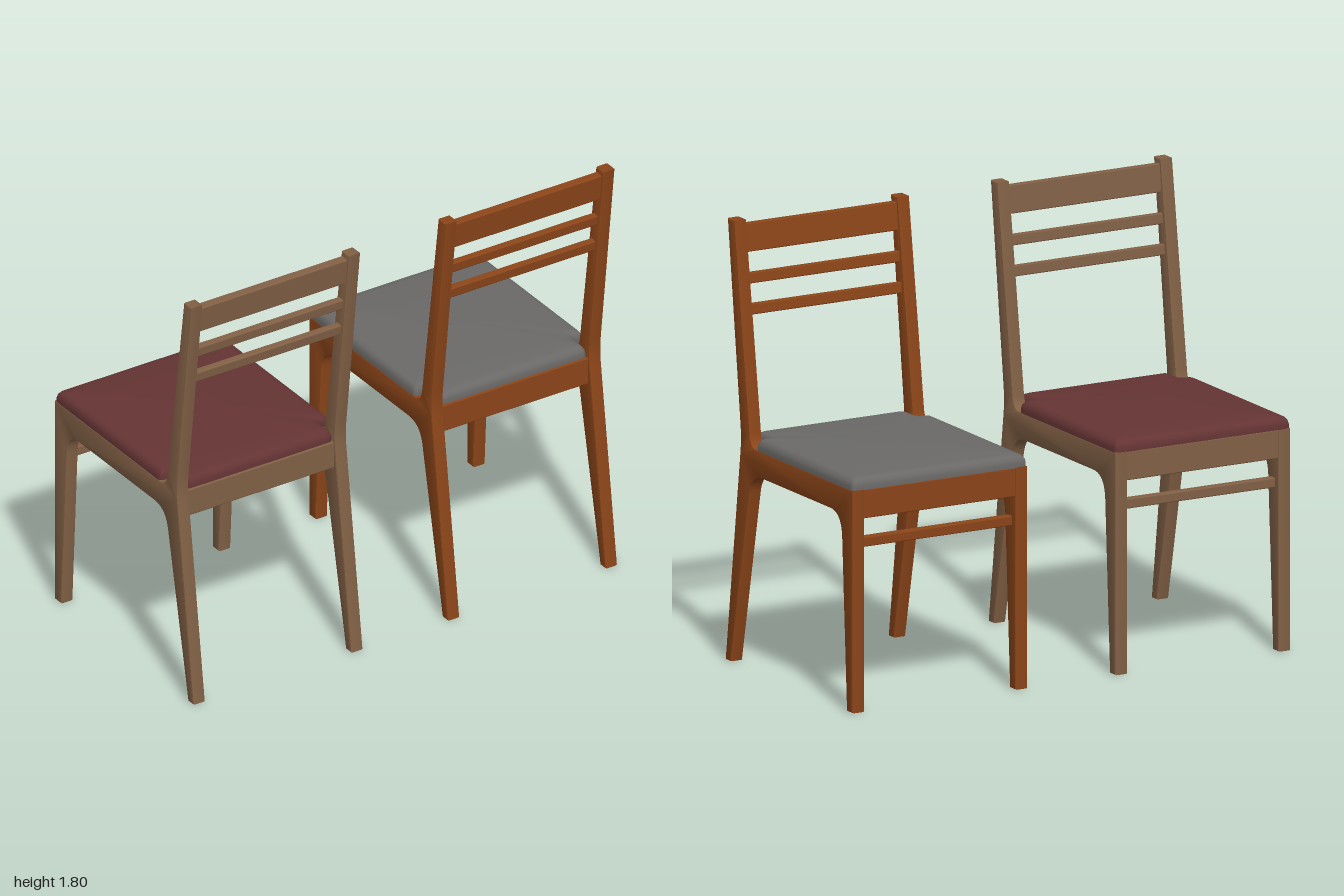
import * as THREE from 'three';
import { toCreasedNormals } from 'three/addons/utils/BufferGeometryUtils.js';
import { RoundedBoxGeometry } from 'three/addons/geometries/RoundedBoxGeometry.js';

const POST = 0.056;  // thickness of the side frames
const HALF = 0.4;    // half the chair's width
const LEAN = Math.atan2(0.1, 0.88); // backrest tilt

// Side frame: both legs, side rail and back post in one outline (z, y)
function sideFrameGeometry() {
  const s = new THREE.Shape();
  s.moveTo(0.46, 0);
  s.lineTo(0.5, 0);
  s.lineTo(0.386, 0.86);
  s.quadraticCurveTo(0.377, 0.92, 0.384, 0.98);
  s.lineTo(0.483, 1.8);
  s.lineTo(0.43, 1.8);
  s.lineTo(0.312, 0.965);
  s.quadraticCurveTo(0.304, 0.905, 0.262, 0.905);
  s.lineTo(-0.497, 0.905);
  s.lineTo(-0.497, 0);
  s.lineTo(-0.45, 0);
  s.lineTo(-0.412, 0.7);
  s.quadraticCurveTo(-0.406, 0.797, -0.32, 0.797);
  s.lineTo(0.215, 0.797);
  s.quadraticCurveTo(0.298, 0.797, 0.314, 0.71);
  s.closePath();
  const b = 0.006;
  const g = new THREE.ExtrudeGeometry(s, {
    depth: POST - 2 * b, bevelThickness: b, bevelSize: b, bevelOffset: -b,
    bevelSegments: 2, curveSegments: 10,
  });
  g.translate(0, 0, b - POST / 2);
  g.rotateY(-Math.PI / 2);
  return toCreasedNormals(g, 0.5);
}

// Cushion outline (x, z), notched around the back posts
function cushionOutline() {
  const s = new THREE.Shape();
  const w = HALF - 0.002, n = HALF - POST - 0.002, r = 0.02;
  s.moveTo(-w + r, -0.497);
  s.lineTo(w - r, -0.497);
  s.quadraticCurveTo(w, -0.497, w, -0.497 + r);
  s.lineTo(w, 0.26 - r);
  s.quadraticCurveTo(w, 0.26, w - r, 0.26);
  s.quadraticCurveTo(n, 0.262, n, 0.3);
  s.lineTo(n, 0.35);
  s.quadraticCurveTo(n, 0.37, n - r, 0.37);
  s.lineTo(-n + r, 0.37);
  s.quadraticCurveTo(-n, 0.37, -n, 0.35);
  s.lineTo(-n, 0.3);
  s.quadraticCurveTo(-n, 0.262, -w + r, 0.26);
  s.quadraticCurveTo(-w, 0.26, -w, 0.26 - r);
  s.lineTo(-w, -0.497 + r);
  s.quadraticCurveTo(-w, -0.497, -w + r, -0.497);
  return s.getPoints(6).slice(0, -1);
}

// Rings of the outline shrink towards the middle while they rise to a crown
function cushionGeometry() {
  const outline = cushionOutline(), n = outline.length, cz = -0.06;
  const rings = [[0, 0.903], [1, 0.903], [1, 0.92], [0.992, 0.934], [0.97, 0.946], [0.94, 0.952]];
  for (const k of [0.88, 0.75, 0.55, 0.3, 0]) rings.push([k, 0.952 + 0.018 * (1 - (k / 0.94) ** 2)]);
  const pos = [], idx = [];
  for (const [k, y] of rings) {
    for (const p of outline) pos.push(p.x * k, y, cz + (p.y - cz) * k);
  }
  for (let r = 0; r < rings.length - 1; r++) {
    for (let i = 0; i < n; i++) {
      const j = (i + 1) % n, a = r * n + i, b = r * n + j, c = a + n, d = b + n;
      if (rings[r][0] > 0) idx.push(a, c, b);
      if (rings[r + 1][0] > 0) idx.push(b, c, d);
    }
  }
  const g = new THREE.BufferGeometry();
  g.setAttribute('position', new THREE.Float32BufferAttribute(pos, 3));
  g.setIndex(idx);
  return toCreasedNormals(g, 0.9);
}

function createChair(wood, fabric) {
  const chair = new THREE.Group();
  const add = (name, geometry, material) => {
    const m = new THREE.Mesh(geometry, material);
    m.name = name;
    chair.add(m);
    return m;
  };
  // Cross rail between the two side frames
  const rail = (name, y, z, height, depth, tilt = 0) => {
    const m = add(name, new RoundedBoxGeometry(2 * (HALF - POST) + 0.02, height, depth, 2, 0.005), wood);
    m.position.set(0, y, z);
    m.rotation.x = tilt;
  };

  const frame = sideFrameGeometry();
  for (const side of [-1, 1]) {
    add(side > 0 ? 'leftSideFrame' : 'rightSideFrame', frame, wood).position.x = side * (HALF - POST / 2);
  }

  rail('frontApron', 0.844, -0.472, 0.118, 0.04);
  rail('backApron', 0.842, 0.355, 0.118, 0.04);
  rail('frontStretcher', 0.682, -0.45, 0.04, 0.036);

  // Backrest rails follow the lean of the posts
  rail('topRail', 1.722, 0.446, 0.115, 0.036, LEAN);
  rail('upperSlat', 1.561, 0.425, 0.044, 0.03, LEAN);
  rail('lowerSlat', 1.438, 0.41, 0.044, 0.03, LEAN);

  add('seatCushion', cushionGeometry(), fabric);
  return chair;
}

export function createModel() {
  const material = (name, color) => {
    const m = new THREE.MeshStandardMaterial({ color });
    m.name = name;
    return m;
  };
  const model = new THREE.Group();
  model.name = 'chairPair';

  const warmChair = createChair(material('warm wood', 0x8b4519), material('grey fabric', 0x6a6967));
  warmChair.name = 'warmWoodChair';
  warmChair.position.x = 0.6;

  const paleChair = createChair(material('pale wood', 0x816045), material('maroon fabric', 0x653434));
  paleChair.name = 'paleWoodChair';
  paleChair.position.x = -0.6;

  model.add(warmChair, paleChair);
  return model;
}
